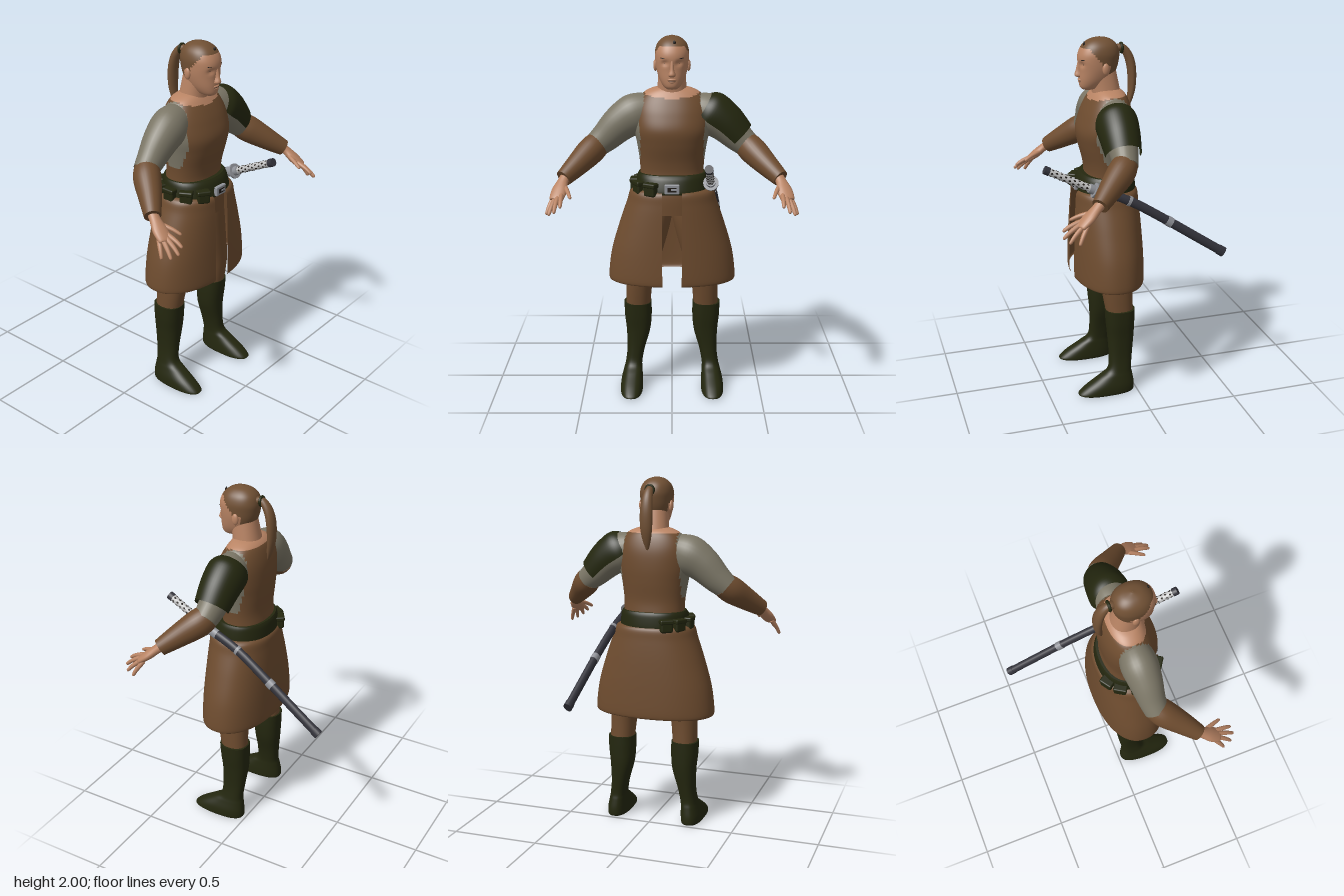
import * as THREE from 'three';
import { RoundedBoxGeometry } from 'three/addons/geometries/RoundedBoxGeometry.js';

const mat = (name, color, side = THREE.FrontSide) => {
  const m = new THREE.MeshStandardMaterial({ color, side });
  m.name = name;
  return m;
};
const M = {
  leather: mat('brown leather', 0x6e4c2f, THREE.DoubleSide),
  sleeve: mat('grey linen', 0x7b7666),
  green: mat('dark green', 0x24270f, THREE.DoubleSide),
  skin: mat('skin', 0xb98464),
  hair: mat('hair', 0x705034),
  scabbard: mat('scabbard', 0x34343c),
  steel: mat('steel', 0x909298),
  wrap: mat('pale wrap', 0xc4c4c4),
  dark: mat('dark detail', 0x1f1a16),
};

// Smooth resampling of rows of numbers, k steps per gap
function resample(rows, k = 6) {
  const out = [], at = i => rows[Math.min(Math.max(i, 0), rows.length - 1)];
  for (let i = 0; i < rows.length - 1; i++)
    for (let s = 0; s < k; s++) {
      const t = s / k;
      out.push(rows[i].map((b, c) => {
        const a = at(i - 1)[c], n = at(i + 1)[c], d = at(i + 2)[c];
        return b + 0.5 * t * (n - a + t * (2 * a - 5 * b + 4 * n - d + t * (3 * (b - n) + d - a)));
      }));
    }
  out.push(at(rows.length));
  return out;
}

// Surface through rings of points; pick(point) chooses the material group of a face
function skinRings(rings, { open = false, caps = true, pick } = {}) {
  const n = rings[0].length, pos = [], groups = [[], [], []];
  rings.forEach(r => r.forEach(p => pos.push(p.x, p.y, p.z)));
  for (let i = 0; i < rings.length - 1; i++)
    for (let j = 0; j < (open ? n - 1 : n); j++) {
      const j1 = (j + 1) % n, a = i * n + j, b = i * n + j1, d = a + n, c = b + n;
      const mid = rings[i][j].clone().add(rings[i + 1][j1]).multiplyScalar(0.5);
      groups[pick ? pick(mid) : 0].push(a, d, b, b, d, c);
    }
  if (caps && !open) [0, rings.length - 1].forEach(e => {
    const base = pos.length / 3, mid = new THREE.Vector3();
    rings[e].forEach(p => { pos.push(p.x, p.y, p.z); mid.addScaledVector(p, 1 / n); });
    pos.push(mid.x, mid.y, mid.z);
    const g = groups[pick ? pick(mid) : 0];
    for (let j = 0; j < n; j++) {
      const p = base + j, q = base + (j + 1) % n;
      g.push(base + n, e ? q : p, e ? p : q);
    }
  });
  const geo = new THREE.BufferGeometry();
  geo.setAttribute('position', new THREE.Float32BufferAttribute(pos, 3));
  geo.setIndex(groups.flat());
  let start = 0;
  if (pick) groups.forEach((g, i) => { geo.addGroup(start, g.length, i); start += g.length; });
  geo.computeVertexNormals();
  return geo;
}

// Upright body: rows of [y, half width, z front, z back, x centre]
function upright(rows, { seg = 40, e = 0.9, gap = 0, bend, ...opt } = {}) {
  const pw = v => Math.sign(v) * Math.abs(v) ** e;
  const rings = resample(rows).map(([y, rx, zf, zb, xc]) => {
    const d = gap ? Math.asin(Math.min(1, gap / rx) ** (1 / e)) : 0, a0 = Math.PI / 2 + d;
    return Array.from({ length: gap ? seg + 1 : seg }, (_, j) => {
      const a = a0 + (Math.PI * 2 - 2 * d) * j / seg;
      const p = new THREE.Vector3(xc + rx * pw(Math.cos(a)), y, (zf + zb) / 2 + (zf - zb) / 2 * pw(Math.sin(a)));
      if (bend) bend(p);
      return p;
    });
  });
  return skinRings(rings, { open: gap > 0, ...opt });
}

// Limb along a path: rows of [x, y, z, radius across, radius up]; s mirrors x
function limb(rows, { s = 1, seg = 20, k = 6, ref = [0, 1, 0], arc = 0, ...opt } = {}) {
  const r = resample(rows, k), R = new THREE.Vector3(...ref);
  const P = r.map(q => new THREE.Vector3(s * q[0], q[1], q[2]));
  const rings = r.map((q, i) => {
    const t = P[Math.min(i + 1, P.length - 1)].clone().sub(P[Math.max(i - 1, 0)]).normalize();
    const u = R.clone().cross(t).normalize(), v = u.clone().cross(t);
    return Array.from({ length: arc ? seg + 1 : seg }, (_, j) => {
      const a = arc ? -Math.PI / 2 + arc * (2 * j / seg - 1) : j / seg * Math.PI * 2;
      return P[i].clone().addScaledVector(u, q[3] * Math.cos(a)).addScaledVector(v, q[4] * Math.sin(a));
    });
  });
  return skinRings(rings, { open: arc > 0, ...opt });
}

export function createModel() {
  const model = new THREE.Group();
  const add = (name, geo, material, parent = model) => {
    const m = new THREE.Mesh(geo, material);
    m.name = name;
    parent.add(m);
    return m;
  };
  const ball = (name, material, x, y, z, sx, sy, sz) => {
    const m = add(name, new THREE.SphereGeometry(1, 16, 10), material);
    m.position.set(x, y, z);
    m.scale.set(sx, sy, sz);
    return m;
  };

  // Tunic with grey armholes and bare neckline
  add('tunic', upright([
    [1.04, 0.18, 0.25, -0.02, 0], [1.15, 0.18, 0.25, -0.03, 0], [1.24, 0.174, 0.225, -0.025, 0],
    [1.32, 0.176, 0.23, -0.02, 0], [1.42, 0.19, 0.255, -0.03, 0], [1.5, 0.205, 0.265, -0.035, 0],
    [1.58, 0.205, 0.242, -0.032, 0], [1.64, 0.19, 0.215, -0.02, 0], [1.69, 0.155, 0.185, 0, 0],
    [1.715, 0.11, 0.165, 0.025, 0], [1.725, 0.07, 0.15, 0.05, 0]], {
    seg: 64, pick: p => p.y > 1.697 - 0.3 * Math.max(0, p.z - 0.11) ? 2
      : p.y > 1.34 && Math.abs(p.x) > (p.y > 1.62 ? 0.15 : 0.17) ? 1 : 0 }), [M.leather, M.sleeve, M.skin]);

  // Neck and head, with the hairline stepping back over the ear to the nape
  add('neck', upright([[1.66, 0.085, 0.175, 0.015, 0], [1.73, 0.078, 0.18, 0.03, 0], [1.83, 0.07, 0.2, 0.05, 0]]), M.skin);
  const hairline = z => z > 0.21 ? 1.947 : z > 0.15 ? 1.947 - (0.21 - z) * 1.2 : z > 0.1 ? 1.855 : 1.785;
  add('head', upright([
    [1.722, 0.025, 0.228, 0.17, 0], [1.737, 0.046, 0.245, 0.12, 0], [1.775, 0.068, 0.25, 0.075, 0],
    [1.83, 0.084, 0.25, 0.045, 0], [1.88, 0.09, 0.256, 0.032, 0], [1.92, 0.09, 0.25, 0.03, 0],
    [1.96, 0.076, 0.228, 0.045, 0], [1.988, 0.045, 0.19, 0.08, 0], [2, 0.004, 0.14, 0.13, 0]], {
    seg: 56, pick: p => p.y > hairline(p.z) ? 1 : 0,
    bend: p => { // eye sockets
      if (p.z > 0.17) p.z -= 0.012 * Math.exp(-(((Math.abs(p.x) - 0.037) / 0.018) ** 2) - ((p.y - 1.862) / 0.014) ** 2);
    } }), [M.skin, M.hair]);
  add('nose', upright([[1.788, 0.01, 0.252, 0.22, 0], [1.8, 0.02, 0.274, 0.22, 0], [1.83, 0.012, 0.267, 0.22, 0],
    [1.878, 0.01, 0.255, 0.22, 0]], { seg: 16 }), M.skin);
  ball('upperLip', M.skin, 0, 1.776, 0.245, 0.024, 0.007, 0.011);
  ball('lowerLip', M.skin, 0, 1.764, 0.243, 0.02, 0.007, 0.011);
  ball('mouthLine', M.dark, 0, 1.77, 0.248, 0.022, 0.0015, 0.006);
  for (const s of [-1, 1]) {
    ball('ear', M.skin, s * 0.088, 1.84, 0.125, 0.012, 0.032, 0.019);
    ball('eye', M.wrap, s * 0.037, 1.861, 0.225, 0.014, 0.006, 0.009);
    ball('iris', M.dark, s * 0.037, 1.861, 0.231, 0.006, 0.006, 0.005);
    const brow = ball('eyebrow', M.dark, s * 0.038, 1.886, 0.239, 0.024, 0.0045, 0.008);
    brow.rotation.set(0, s * 0.35, s * 0.12);
  }
  ball('forelock', M.dark, 0.012, 1.965, 0.222, 0.008, 0.014, 0.006);

  // Ponytail and tie
  add('ponytail', limb([[0, 1.93, 0.05, 0.02, 0.022], [0, 1.935, 0.01, 0.02, 0.022], [0, 1.89, -0.025, 0.024, 0.03],
    [0, 1.82, -0.043, 0.024, 0.036], [0, 1.73, -0.045, 0.021, 0.034], [0, 1.66, -0.035, 0.015, 0.023],
    [0, 1.6, -0.022, 0.003, 0.004]], { ref: [1, 0, 0] }), M.hair);
  const tie = add('hairTie', new THREE.TorusGeometry(0.023, 0.008, 8, 20), M.green);
  tie.position.set(0, 1.934, 0.014);

  // Arms, bracers and hands
  const fingers = [
    [0.578, 1.187, 0.415, 0.577, 1.15, 0.497], [0.598, 1.176, 0.42, 0.61, 1.122, 0.503],
    [0.615, 1.166, 0.41, 0.64, 1.103, 0.478], [0.628, 1.162, 0.39, 0.657, 1.095, 0.43],
    [0.565, 1.225, 0.345, 0.527, 1.187, 0.45]];
  for (const s of [-1, 1]) {
    add('sleeve', limb([[0.12, 1.6, 0.1, 0.08, 0.09], [0.2, 1.575, 0.1, 0.098, 0.112], [0.28, 1.525, 0.105, 0.09, 0.1],
      [0.36, 1.45, 0.11, 0.074, 0.082], [0.42, 1.4, 0.118, 0.064, 0.068]], { s, seg: 28 }), M.sleeve);
    add('bracer', limb([[0.395, 1.418, 0.11, 0.064, 0.07], [0.44, 1.38, 0.15, 0.073, 0.076],
      [0.505, 1.322, 0.225, 0.061, 0.063], [0.575, 1.262, 0.302, 0.044, 0.046]], { s, seg: 28 }), M.leather);
    add('palm', limb([[0.56, 1.275, 0.288, 0.03, 0.028], [0.578, 1.247, 0.322, 0.03, 0.024],
      [0.592, 1.21, 0.365, 0.042, 0.024], [0.604, 1.175, 0.41, 0.038, 0.017], [0.607, 1.168, 0.418, 0.025, 0.01]], { s }), M.skin);
    fingers.forEach(([x, y, z, X, Y, Z], i) => {
      const mix = (t, r, lift = 0) => [x + (X - x) * t, y + (Y - y) * t + lift, z + (Z - z) * t, r, r];
      add(i < 4 ? 'finger' : 'thumb', limb([mix(-0.25, 0.012), mix(0.2, 0.0125, 0.004), mix(0.6, 0.011, 0.005),
        mix(0.92, 0.0085), mix(1, 0.003)], { s, seg: 10, k: 3 }), M.skin);
    });
  }
  add('shoulderGuard', limb([[0.165, 1.602, 0.105, 0.095, 0.1], [0.205, 1.578, 0.105, 0.112, 0.126],
    [0.28, 1.525, 0.108, 0.108, 0.118], [0.36, 1.448, 0.112, 0.095, 0.098]], { seg: 30, arc: 1.85 }), M.green);

  // Legs and boots
  for (const s of [-1, 1]) {
    add('trouserLeg', upright([[1.12, 0.09, 0.21, -0.01, s * 0.085], [1, 0.098, 0.215, -0.02, s * 0.1],
      [0.82, 0.09, 0.205, -0.01, s * 0.138], [0.65, 0.076, 0.19, 0.01, s * 0.18], [0.47, 0.068, 0.16, 0.01, s * 0.192]].reverse()), M.leather);
    add('boot', upright([[0, 0.058, 0.325, 0.022, s * 0.229], [0.012, 0.063, 0.34, 0.015, s * 0.229], [0.05, 0.061, 0.295, 0.015, s * 0.228],
      [0.1, 0.052, 0.215, 0.022, s * 0.223], [0.14, 0.047, 0.162, 0.028, s * 0.218], [0.22, 0.05, 0.152, 0.02, s * 0.206],
      [0.33, 0.067, 0.155, 0.008, s * 0.192], [0.42, 0.076, 0.163, 0.004, s * 0.192], [0.5, 0.077, 0.168, 0.002, s * 0.194]],
      { e: 0.8 }), M.green);
  }

  // Open-fronted skirt
  add('skirt', upright([[0.65, 0.34, 0.302, -0.072, 0], [0.675, 0.352, 0.31, -0.082, 0], [0.82, 0.334, 0.308, -0.08, 0],
    [0.98, 0.288, 0.303, -0.073, 0], [1.1, 0.247, 0.297, -0.064, 0], [1.165, 0.225, 0.288, -0.056, 0],
    [1.185, 0.17, 0.24, -0.02, 0]], { seg: 72, gap: 0.053 }), M.leather);

  // Belt, buckle and pouches round the right hip
  add('belt', upright([[1.16, 0.196, 0.276, -0.045, 0], [1.175, 0.2, 0.28, -0.05, 0], [1.235, 0.192, 0.262, -0.046, 0],
    [1.258, 0.183, 0.245, -0.038, 0]], { seg: 48 }), M.green);
  add('buckle', new RoundedBoxGeometry(0.08, 0.052, 0.022, 2, 0.005), M.steel).position.set(0, 1.196, 0.284);
  add('buckleSlot', new THREE.BoxGeometry(0.046, 0.024, 0.005), M.dark).position.set(0, 1.196, 0.295);
  add('buckleTongue', new THREE.BoxGeometry(0.03, 0.01, 0.008), M.steel).position.set(0.01, 1.196, 0.296);
  for (const deg of [124, 152, 183, 212, 236]) {
    const a = deg * Math.PI / 180, pouch = new THREE.Group();
    pouch.name = 'pouch';
    add('pouchBody', new RoundedBoxGeometry(0.07, 0.07, 0.045, 3, 0.012), M.green, pouch);
    add('pouchFlap', new RoundedBoxGeometry(0.076, 0.026, 0.052, 2, 0.008), M.green, pouch).position.y = 0.025;
    pouch.position.set(0.205 * Math.cos(a), 1.187, 0.112 + 0.178 * Math.sin(a));
    pouch.rotation.y = Math.PI / 2 - a;
    model.add(pouch);
  }

  // Curved scabbard with bands and end cap
  const path = new THREE.CatmullRomCurve3([[0.21, 1.215, 0.22], [0.228, 1.14, 0.03], [0.253, 1.015, -0.175],
    [0.272, 0.9, -0.35], [0.287, 0.805, -0.495]].map(p => new THREE.Vector3(...p)));
  const sheath = (name, t0, t1, r, material) => add(name, limb([0, 0.25, 0.5, 0.75, 1].map(f => {
    const p = path.getPoint(t0 + (t1 - t0) * f);
    return [p.x, p.y, p.z, r * 0.8, r];
  }), { k: 4 }), material);
  sheath('scabbard', 0, 0.97, 0.026, M.scabbard);
  sheath('scabbardMouth', 0, 0.06, 0.029, M.steel);
  sheath('hangerBand', 0.23, 0.25, 0.029, M.steel);
  sheath('middleBand', 0.49, 0.53, 0.029, M.steel);
  sheath('scabbardCap', 0.95, 1, 0.029, M.scabbard);

  // Hilt: guard, wrapped grip with dark diamonds, pommel
  const hilt = new THREE.Group();
  hilt.name = 'hilt';
  hilt.position.set(0.21, 1.215, 0.22);
  hilt.lookAt(0.189, 1.352, 0.495);
  const rod = (name, r, z0, z1, material) => {
    const m = add(name, new THREE.CylinderGeometry(r, r, z1 - z0, 20), material, hilt);
    m.rotation.x = Math.PI / 2;
    m.position.z = (z0 + z1) / 2;
  };
  rod('guard', 0.042, 0, 0.012, M.steel);
  rod('collar', 0.026, 0.012, 0.04, M.steel);
  rod('grip', 0.02, 0.04, 0.285, M.wrap);
  rod('pommel', 0.023, 0.28, 0.308, M.scabbard);
  for (let i = 0; i < 9; i++)
    for (let j = 0; j < 6; j++) {
      const a = (j + (i % 2) / 2) * Math.PI / 3;
      const d = add('gripDiamond', new THREE.OctahedronGeometry(1), M.dark, hilt);
      d.scale.set(0.003, 0.006, 0.01);
      d.position.set(0.0195 * Math.cos(a), 0.0195 * Math.sin(a), 0.058 + i * 0.026);
      d.rotation.z = a;
    }
  model.add(hilt);
  return model;
}
